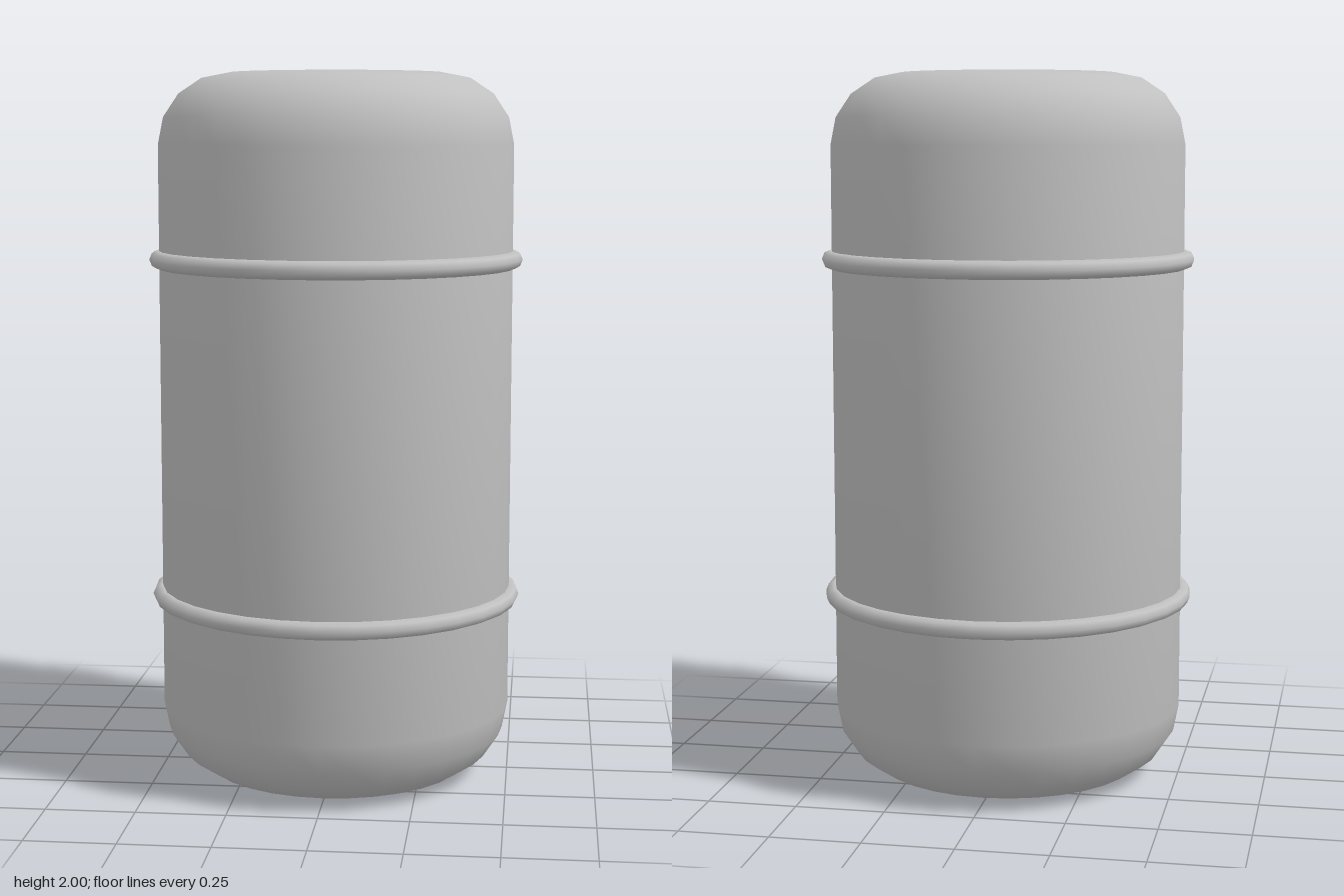
import * as THREE from 'three';
import { toCreasedNormals } from 'three/addons/utils/BufferGeometryUtils.js';

const SIDES = 32;

export function createModel() {
  const group = new THREE.Group();
  const metal = new THREE.MeshStandardMaterial({ color: 0xc0c0c0 });
  metal.name = 'grey metal';

  // Barrel body: flat ends, rounded shoulders, straight wall
  const radius = 0.5, corner = 0.2, steps = 4, height = 2;
  const profile = [new THREE.Vector2(0, 0)];
  for (const [cy, start] of [[corner, -Math.PI / 2], [height - corner, 0]]) {
    for (let i = 0; i <= steps; i++) {
      const a = start + (i / steps) * Math.PI / 2;
      profile.push(new THREE.Vector2(
        radius - corner + corner * Math.cos(a), cy + corner * Math.sin(a)));
    }
  }
  profile.push(new THREE.Vector2(0, height));
  const body = new THREE.Mesh(new THREE.LatheGeometry(profile, SIDES), metal);
  body.name = 'barrelBody';
  // Smooth shoulders that blend into the wall and ends
  body.geometry = toCreasedNormals(body.geometry, Math.PI / 5);
  group.add(body);

  // Two raised hoops around the wall
  for (const [name, y] of [['lowerHoop', 0.52], ['upperHoop', 1.48]]) {
    const hoop = new THREE.Mesh(new THREE.TorusGeometry(0.503, 0.025, 8, SIDES), metal);
    hoop.name = name;
    hoop.rotation.x = Math.PI / 2;
    hoop.position.y = y;
    group.add(hoop);
  }
  return group;
}
